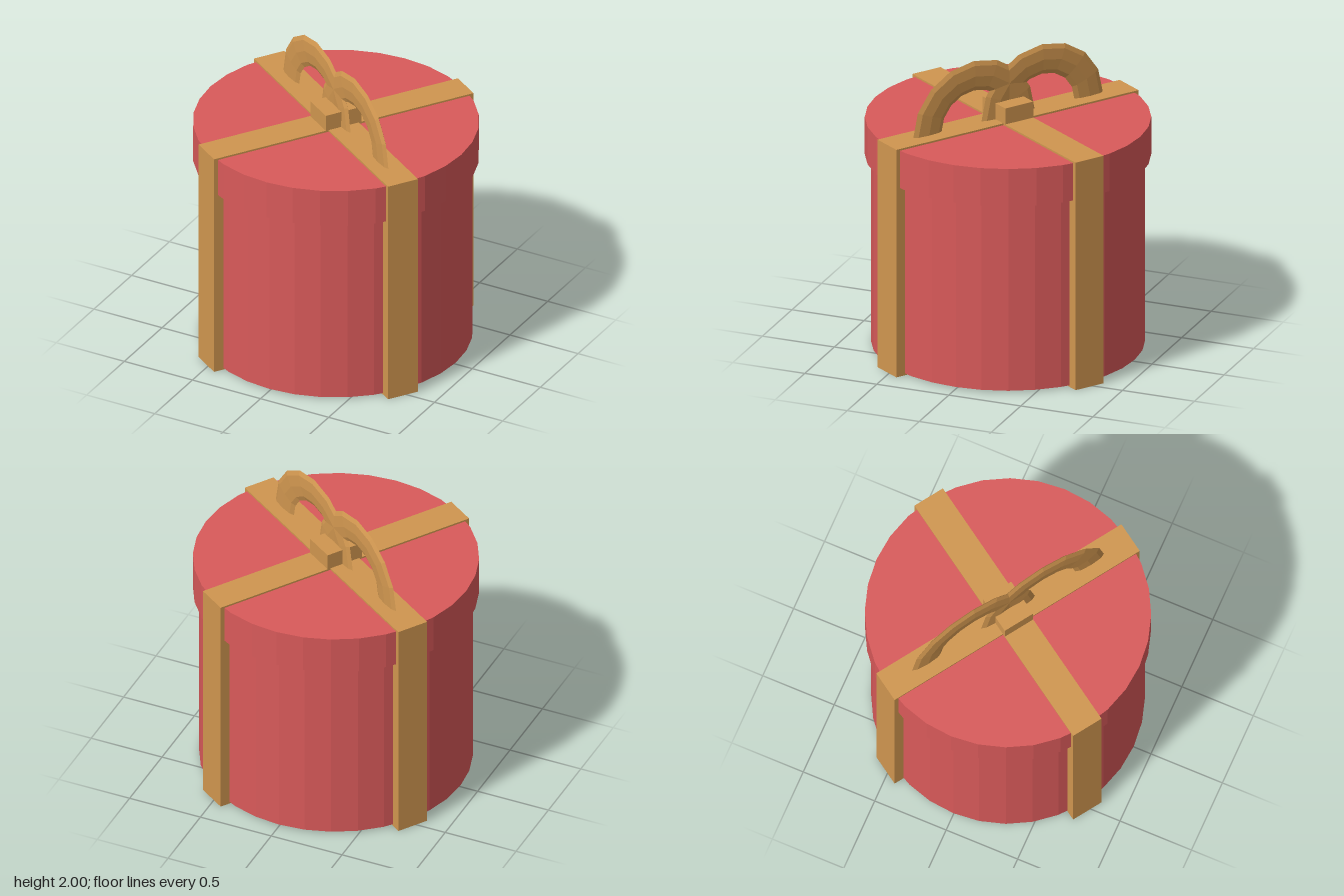
import * as THREE from 'three';

const red = new THREE.MeshStandardMaterial({ name: 'giftRed', color: 0xd95a5a, flatShading: true });
const tan = new THREE.MeshStandardMaterial({ name: 'ribbonTan', color: 0xd0964f, flatShading: true });

function addPart(parent, name, geometry, material, y = 0) {
  const mesh = new THREE.Mesh(geometry, material);
  mesh.name = name;
  mesh.position.y = y;
  parent.add(mesh);
  return mesh;
}

// upright cylinder between two heights
function drum(radius, y0, y1) {
  return new THREE.CylinderGeometry(radius, radius, y1 - y0, 32).translate(0, (y0 + y1) / 2, 0);
}

export function createModel() {
  const gift = new THREE.Group();
  gift.name = 'giftBox';

  // round box and its wider lid
  addPart(gift, 'boxBody', drum(0.88, 0.012, 1.4), red);
  addPart(gift, 'boxLid', drum(0.92, 1.3, 1.558), red);

  // ribbons and bow share one turned frame
  const wrapping = new THREE.Group();
  wrapping.name = 'wrapping';
  wrapping.rotation.y = -0.588;
  gift.add(wrapping);

  // two crossing bands wrapped all the way round
  const bandHeight = 1.57;
  for (const [name, angle] of [['longRibbon', 0], ['crossRibbon', Math.PI / 2]]) {
    const band = addPart(wrapping, name, new THREE.BoxGeometry(1.875, bandHeight, 0.217), tan, bandHeight / 2);
    band.rotation.y = angle;
  }

  // knot in the middle of the bow
  addPart(wrapping, 'bowKnot', new THREE.BoxGeometry(0.217, 0.13, 0.26), tan, 1.615);

  // two overlapping flattened loops
  for (const [name, side] of [['leftBowLoop', 1], ['rightBowLoop', -1]]) {
    const loop = addPart(wrapping, name, new THREE.TorusGeometry(0.36, 0.11, 8, 8, Math.PI), tan, 1.567);
    loop.position.x = side * 0.264;
    loop.scale.set(1, 0.921, 0.18);
  }

  return gift;
}
